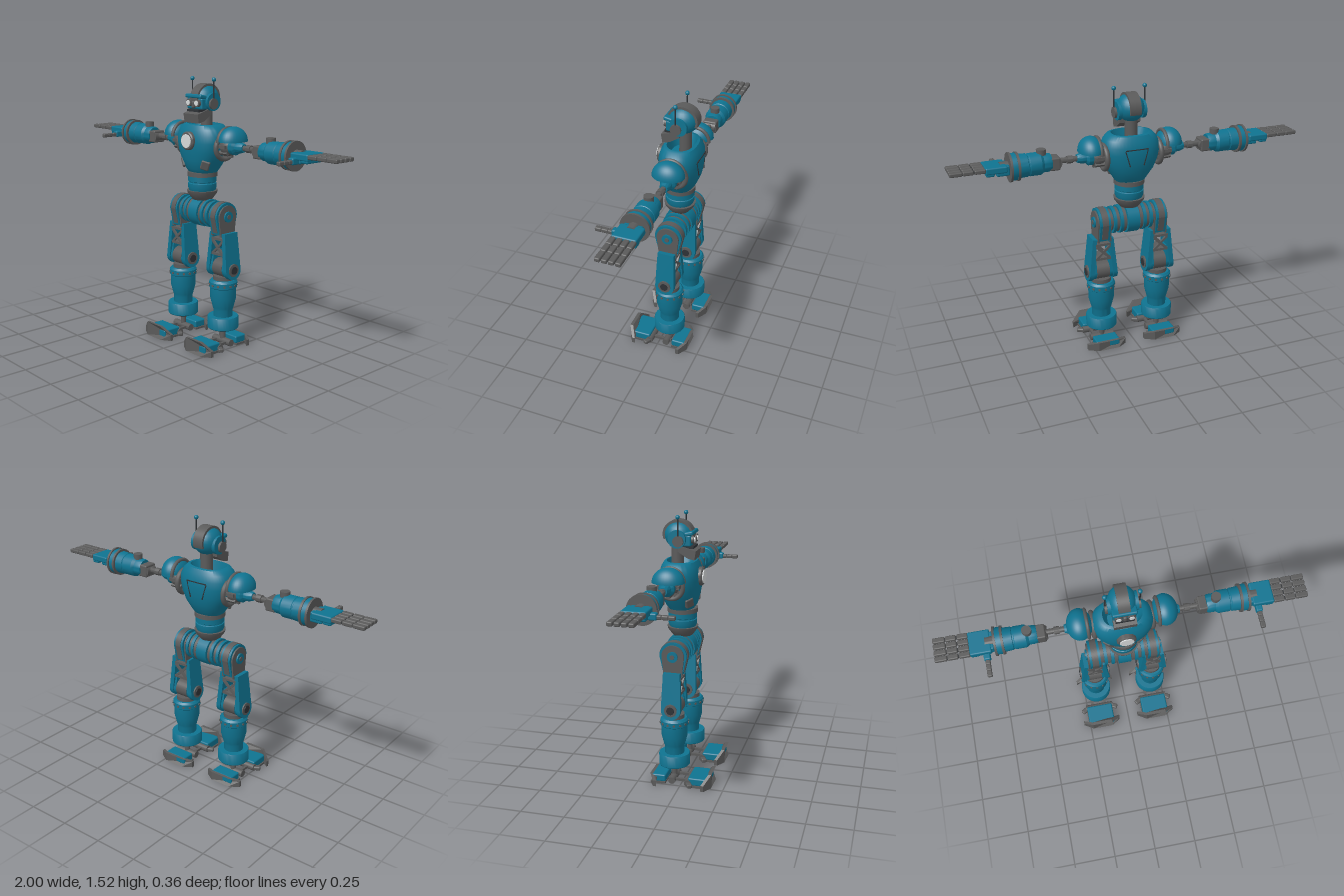
import * as THREE from 'three';
import { toCreasedNormals } from 'three/addons/utils/BufferGeometryUtils.js';
import { RoundedBoxGeometry } from 'three/addons/geometries/RoundedBoxGeometry.js';

const PI = Math.PI, H = PI / 2, BZ = -0.05, AZ = -0.07, AY = 1.15;

export function createModel() {
  const paint = (name, color) => Object.assign(new THREE.MeshStandardMaterial({ color }), { name });
  const blue = paint('teal armour', 0x0f7390), grey = paint('grey metal', 0x5a5a5a);
  const dark = paint('dark metal', 0x2e3236), white = paint('white lamp', 0xd6d9da);
  const shell = paint('teal shell', 0x0f7390);
  shell.side = THREE.DoubleSide;

  const root = new THREE.Group();
  root.name = 'robot';
  const group = (name, x = 0, y = 0, z = 0, parent = root) => {
    const g = new THREE.Group();
    g.name = name;
    g.position.set(x, y, z);
    parent.add(g);
    return g;
  };
  const add = (p, name, geo, mat, x = 0, y = 0, z = 0, rx = 0, ry = 0, rz = 0) => {
    const m = new THREE.Mesh(geo, mat);
    m.name = name;
    m.position.set(x, y, z);
    m.rotation.set(rx, ry, rz);
    p.add(m);
    return m;
  };
  const box = (w, h, d) => new THREE.BoxGeometry(w, h, d);
  const soft = (w, h, d, r = 0.008) => new RoundedBoxGeometry(w, h, d, 2, r);
  const cyl = (r, h, r2 = r, n = 28) => new THREE.CylinderGeometry(r2, r, h, n);
  const ball = r => new THREE.SphereGeometry(r, 24, 16);
  // Turned part; pairs are [radius, height] from bottom to top
  const turned = pts => toCreasedNormals(
    new THREE.LatheGeometry(pts.map(p => new THREE.Vector2(...p)), 36), 0.6);
  // Profile in (z, y) given thickness along x
  const plate = (shape, t) => new THREE.ExtrudeGeometry(shape, { depth: t, bevelEnabled: false, curveSegments: 20 })
    .translate(0, 0, -t / 2).rotateY(-H);
  const poly = pts => new THREE.Shape(pts.map(p => new THREE.Vector2(...p)));
  // Round-ended bar; the arc sits at the origin and the bar runs to y = end
  const tongue = (r, end, w = r) => {
    const s = new THREE.Shape(), up = end > 0;
    s.moveTo(-w, end);
    s.lineTo(-r, 0);
    s.absarc(0, 0, r, PI, up ? 2 * PI : 0, !up);
    s.lineTo(w, end);
    return s;
  };
  // Smooth body from squared oval rings [y, half width, centre z, half depth]
  const loft = (rings, e = 2.4, n = 48) => {
    const pos = [], idx = [];
    const sg = v => Math.sign(v) * Math.abs(v) ** (2 / e);
    rings.forEach(([y, hx, cz, hz]) => {
      for (let i = 0; i < n; i++) {
        const a = i / n * 2 * PI;
        pos.push(hx * sg(Math.sin(a)), y, cz + hz * sg(Math.cos(a)));
      }
    });
    for (let j = 0; j < rings.length - 1; j++) for (let i = 0; i < n; i++) {
      const a = j * n + i, b = j * n + (i + 1) % n;
      idx.push(a, b, a + n, b, b + n, a + n);
    }
    const g = new THREE.BufferGeometry();
    g.setAttribute('position', new THREE.Float32BufferAttribute(pos, 3));
    g.setIndex(idx);
    g.computeVertexNormals();
    return toCreasedNormals(g, 0.7);
  };

  // Head
  const head = group('head', 0, 1.4, -0.065);
  add(head, 'skull', ball(0.081), blue).scale.set(0.92, 0.95, 1.02);
  add(head, 'crest', new THREE.CylinderGeometry(0.087, 0.087, 0.062, 36, 1, false, 0, PI * 1.2)
    .rotateZ(H), grey, 0, 0, 0, 0.3).scale.set(1, 0.95, 1);
  add(head, 'brow', soft(0.13, 0.022, 0.05), blue, 0, 0.014, 0.068, -0.2);
  add(head, 'face', soft(0.125, 0.06, 0.06), blue, 0, -0.025, 0.05);
  add(head, 'nose', soft(0.02, 0.04, 0.03), grey, 0, -0.03, 0.082);
  add(head, 'jaw', plate(poly([[0.108, -0.08], [0.1, -0.13], [0.06, -0.12], [0.005, -0.085], [0.005, -0.05], [0.06, -0.066]]), 0.12), grey);
  add(head, 'mouth', box(0.1, 0.012, 0.06), dark, 0, -0.063, 0.062);
  add(head, 'neck', cyl(0.034, 0.14), grey, 0, -0.12, -0.01);
  for (const s of [-1, 1]) {
    add(head, 'eyeRim', cyl(0.021, 0.025), grey, s * 0.034, -0.02, 0.082, H);
    add(head, 'eye', cyl(0.014, 0.006), white, s * 0.034, -0.02, 0.096, H);
    add(head, 'ear', cyl(0.05, 0.02), blue, s * 0.07, -0.015, 0.005, 0, 0, H);
    add(head, 'earHub', cyl(0.03, 0.03), grey, s * 0.078, -0.025, 0.015, 0, 0, H);
    add(head, 'antenna', cyl(0.004, 0.13, 0.004, 8), dark, s * 0.089, 0.042, 0.015);
    add(head, 'antennaTip', ball(0.012), blue, s * 0.089, 0.108, 0.015);
  }

  // Torso, open at the neck
  const torso = group('torso');
  add(torso, 'chest', loft([[0.99, 0.0, BZ, 0.0], [0.99, 0.085, BZ, 0.07], [1.01, 0.097, BZ, 0.085],
    [1.06, 0.13, -0.055, 0.102], [1.11, 0.152, -0.055, 0.112], [1.16, 0.163, -0.055, 0.115], [1.2, 0.163, -0.055, 0.111],
    [1.235, 0.148, -0.055, 0.101], [1.258, 0.125, -0.055, 0.088], [1.262, 0.105, -0.055, 0.074], [1.2, 0.08, -0.055, 0.06], [1.2, 0, -0.055, 0]]), blue);
  add(torso, 'lampHousing', turned([[0, -0.025], [0.052, -0.025], [0.052, 0.008], [0.046, 0.014], [0, 0.014]]), grey, 0, 1.172, 0.06, H);
  add(torso, 'lamp', cyl(0.038, 0.006), white, 0, 1.172, 0.077, H);
  add(torso, 'backSeam', box(0.13, 0.005, 0.005), dark, 0, 1.19, -0.167);
  for (const s of [-1, 1]) {
    add(torso, 'bellyPad', soft(0.05, 0.055, 0.03), grey, s * 0.088, 1.04, 0.012, 0.3, s * 0.65, s * -0.5);
    add(torso, 'shoulderSocket', new THREE.TorusGeometry(0.066, 0.014, 10, 36), grey, s * 0.157, 1.14, AZ, 0, H);
    add(torso, 'backSeam', box(0.005, 0.09, 0.005), dark, s * 0.052, 1.142, -0.165, 0.05, 0, s * -0.28);
  }

  // Waist
  const waist = group('waist', 0, 0, -0.046);
  add(waist, 'waistCollar', cyl(0.086, 0.025), grey, 0, 0.978);
  add(waist, 'waistDrum', turned([[0, 0.882], [0.074, 0.882], [0.081, 0.9], [0.081, 0.925], [0.076, 0.928], [0.076, 0.933], [0.081, 0.936], [0.081, 0.966], [0, 0.966]]), blue);
  add(waist, 'waistCup', turned([[0, 0.825], [0.055, 0.83], [0.065, 0.842], [0.084, 0.868], [0.088, 0.884], [0, 0.884]]), grey);

  // Pelvis drum with discs
  const pelvis = group('pelvis', 0, 0.757, BZ);
  add(pelvis, 'axle', cyl(0.062, 0.29), grey, 0, 0, 0, 0, 0, H);
  add(pelvis, 'drum', cyl(0.083, 0.07), blue, 0, 0, 0, 0, 0, H);
  for (const s of [-1, 1]) for (const [x, r, m] of [[0.049, 0.076, grey], [0.068, 0.08, blue], [0.088, 0.07, grey], [0.107, 0.077, blue]])
    add(pelvis, 'disc', cyl(r, 0.017), m, s * x, 0, 0, 0, 0, H);

  // Bent bumper: front trapezoid swept back at both ends
  const bumper = top => {
    const g = new THREE.ExtrudeGeometry(poly([[-0.115, 0], [-0.06, 0], [0.06, 0], [0.115, 0], [0.115, 0.035], [0.06, top], [-0.06, top], [-0.115, 0.035]]),
      { depth: 0.018, bevelEnabled: false });
    const p = g.attributes.position;
    for (let i = 0; i < p.count; i++) p.setZ(i, p.getZ(i) - Math.max(0, Math.abs(p.getX(i)) - 0.06) * 0.6);
    g.computeVertexNormals();
    return g;
  };

  // Legs
  for (const s of [-1, 1]) {
    const leg = group(s > 0 ? 'leftLeg' : 'rightLeg', s * 0.174, 0, BZ);
    const hx = s * -0.006;
    add(leg, 'hipArch', plate(tongue(0.078, -0.1, 0.055), 0.062), blue, hx, 0.757);
    add(leg, 'hipFront', plate(tongue(0.081, -0.09, 0.06), 0.036), grey, hx, 0.757);
    for (const k of [-1, 1]) {
      add(leg, 'hipPlate', plate(tongue(0.064, -0.11, 0.052), 0.012), grey, hx + k * 0.034, 0.757);
      add(leg, 'hipHub', cyl(0.03, 0.014), blue, hx + k * 0.042, 0.757, 0, 0, 0, H);
      add(leg, 'hipBolt', cyl(0.013, 0.006), grey, hx + k * 0.05, 0.757, 0, 0, 0, H);
      // Thigh fork, braces and knee
      add(leg, 'thighPlate', plate(tongue(0.056, 0.21, 0.048), 0.026), blue, k * 0.069, 0.458, 0, 0, 0, k * 0.1);
      add(leg, 'thighCheek', plate(tongue(0.05, 0.1, 0.035), 0.022), blue, k * 0.05, 0.458);
      add(leg, 'kneeRim', cyl(0.036, 0.012), grey, k * 0.082, 0.458, 0, 0, 0, H);
      add(leg, 'kneeHub', cyl(0.022, 0.006), dark, k * 0.089, 0.458, 0, 0, 0, H);
      for (const z of [-0.044, 0.044])
        add(leg, 'crossBrace', box(0.013, 0.115, 0.012), grey, 0, 0.583, z, 0, 0, k * 0.82);
    }
    for (const y of [0.545, 0.632]) add(leg, 'crossBar', box(0.09, 0.014, 0.1), grey, 0, y, 0);
    add(leg, 'kneeDrum', cyl(0.052, 0.076), grey, 0, 0.46, 0, 0, 0, H);
    // Shin
    add(leg, 'kneeMount', cyl(0.058, 0.03), grey, 0, 0.4);
    add(leg, 'shin', turned([[0, 0.1], [0.055, 0.1], [0.055, 0.215], [0.06, 0.23], [0.074, 0.285], [0.074, 0.345],
      [0.08, 0.35], [0.08, 0.38], [0.07, 0.392], [0, 0.392]]), blue);
    for (let i = 0; i < 14; i++) {
      const a = i / 14 * 2 * PI;
      add(leg, 'shinBolt', cyl(0.007, 0.006, 0.007, 8), grey, Math.sin(a) * 0.081, 0.365, Math.cos(a) * 0.081, H, 0, -a);
    }
    add(leg, 'ankleCuff', turned([[0, 0.106], [0.086, 0.106], [0.089, 0.11], [0.089, 0.172], [0.086, 0.177], [0, 0.177]]), blue);
    add(leg, 'ankleCup', turned([[0, 0.078], [0.025, 0.08], [0.042, 0.1], [0.042, 0.108], [0, 0.108]]), grey);
    add(leg, 'ankleShaft', cyl(0.016, 0.08), grey, 0, 0.055);
    // Foot: toe and heel pads joined by bars
    const foot = group('foot', 0, 0, 0, leg);
    add(foot, 'toePad', soft(0.16, 0.045, 0.115), blue, 0, 0.034, 0.155);
    add(foot, 'toeSole', box(0.17, 0.012, 0.11), grey, 0, 0.008, 0.155);
    add(foot, 'toeBumper', bumper(0.082), grey, 0, 0, 0.212);
    add(foot, 'toeHinge', cyl(0.02, 0.17), grey, 0, 0.024, 0.097, 0, 0, H);
    add(foot, 'heelPad', soft(0.14, 0.042, 0.08), blue, 0, 0.032, -0.077);
    add(foot, 'heelSole', box(0.15, 0.012, 0.08), grey, 0, 0.008, -0.077);
    add(foot, 'heelBumper', bumper(0.052), grey, 0, 0, -0.112, 0, PI);
    add(foot, 'heelHinge', cyl(0.02, 0.14), grey, 0, 0.024, 0, 0, 0, H);
    for (const k of [-1, 1]) {
      add(foot, 'footBar', box(0.016, 0.014, 0.13), grey, k * 0.04, 0.024, 0.04);
      add(foot, 'toeWing', soft(0.045, 0.024, 0.03), grey, k * 0.093, 0.02, 0.108, 0, k * -0.5);
    }
  }

  // Arms, held straight out
  for (const s of [-1, 1]) {
    const arm = group(s > 0 ? 'leftArm' : 'rightArm', 0, AY, AZ);
    // Turned part along the arm; pairs are [radius, distance from the body centre]
    const along = (name, pts, mat) => add(arm, name, turned(pts), mat, 0, 0, 0, 0, 0, -s * H);
    const bar = (name, x0, x1, r, mat) => along(name, [[0, x0], [r, x0], [r, x1], [0, x1]], mat);
    add(arm, 'shoulderBall', ball(0.054), grey, s * 0.195);
    for (let i = 0; i < 8; i++) {
      const a = i / 8 * 2 * PI;
      add(arm, 'shoulderRib', box(0.07, 0.018, 0.018), grey, s * 0.185, Math.sin(a) * 0.052, Math.cos(a) * 0.052, -a);
    }
    along('shoulderCone', [[0, 0.225], [0.044, 0.225], [0.044, 0.25], [0.03, 0.262], [0.03, 0.285], [0.022, 0.31], [0, 0.31]], blue);
    bar('upperArm', 0.3, 0.42, 0.015, grey);
    bar('upperArmSleeve', 0.335, 0.365, 0.021, grey);
    add(arm, 'shoulderGuard', new THREE.SphereGeometry(1, 32, 12, 0, 2 * PI, 0, H), shell, s * 0.228, 0.03, 0.005).scale.set(0.07, 0.082, 0.09);
    add(arm, 'guardBand', new THREE.TorusGeometry(0.078, 0.01, 8, 28, PI), grey, s * 0.19, 0.024, 0.005, 0, H);
    add(arm, 'guardStrut', soft(0.09, 0.016, 0.05), grey, s * 0.2, 0.052, 0.005, 0, 0, s * 0.35);
    // Elbow and forearm
    add(arm, 'elbow', cyl(0.03, 0.07), grey, s * 0.43, -0.005, 0, H);
    add(arm, 'elbowFork', soft(0.06, 0.07, 0.08), grey, s * 0.44, -0.005);
    along('forearm', [[0, 0.455], [0.046, 0.455], [0.05, 0.47], [0.05, 0.5], [0.061, 0.515], [0.061, 0.575],
      [0.058, 0.578], [0.058, 0.584], [0.062, 0.587], [0.066, 0.665], [0, 0.665]], blue);
    add(arm, 'forearmKnob', cyl(0.026, 0.03), grey, s * 0.505, 0.062);
    bar('forearmRing', 0.632, 0.645, 0.077, grey);
    bar('wristBand', 0.645, 0.672, 0.072, blue);
    bar('wristRing', 0.672, 0.684, 0.079, grey);
    bar('wrist', 0.68, 0.73, 0.034, grey);
    // Hand
    add(arm, 'palm', soft(0.115, 0.036, 0.13), blue, s * 0.757, 0.01);
    add(arm, 'palmHeel', soft(0.07, 0.055, 0.1), blue, s * 0.72, -0.002);
    add(arm, 'knuckleGuard', soft(0.045, 0.026, 0.125), blue, s * 0.79, -0.008);
    for (let i = 0; i < 4; i++) {
      const z = (i - 1.5) * 0.035;
      for (const [x, l] of [[0.842, 0.058], [0.903, 0.056], [0.966, 0.066]])
        add(arm, 'fingerSegment', soft(l, 0.022, 0.029, 0.006), grey, s * x, 0.015, z);
      add(arm, 'fingerCore', box(0.17, 0.012, 0.016), dark, s * 0.89, 0.014, z);
    }
    add(arm, 'thumbBase', soft(0.036, 0.036, 0.05), blue, s * 0.73, -0.012, 0.07);
    for (const z of [0.1, 0.134, 0.168])
      add(arm, 'thumbSegment', soft(0.026, 0.022, 0.036, 0.006), grey, s * 0.73, -0.015, z);
  }
  return root;
}
